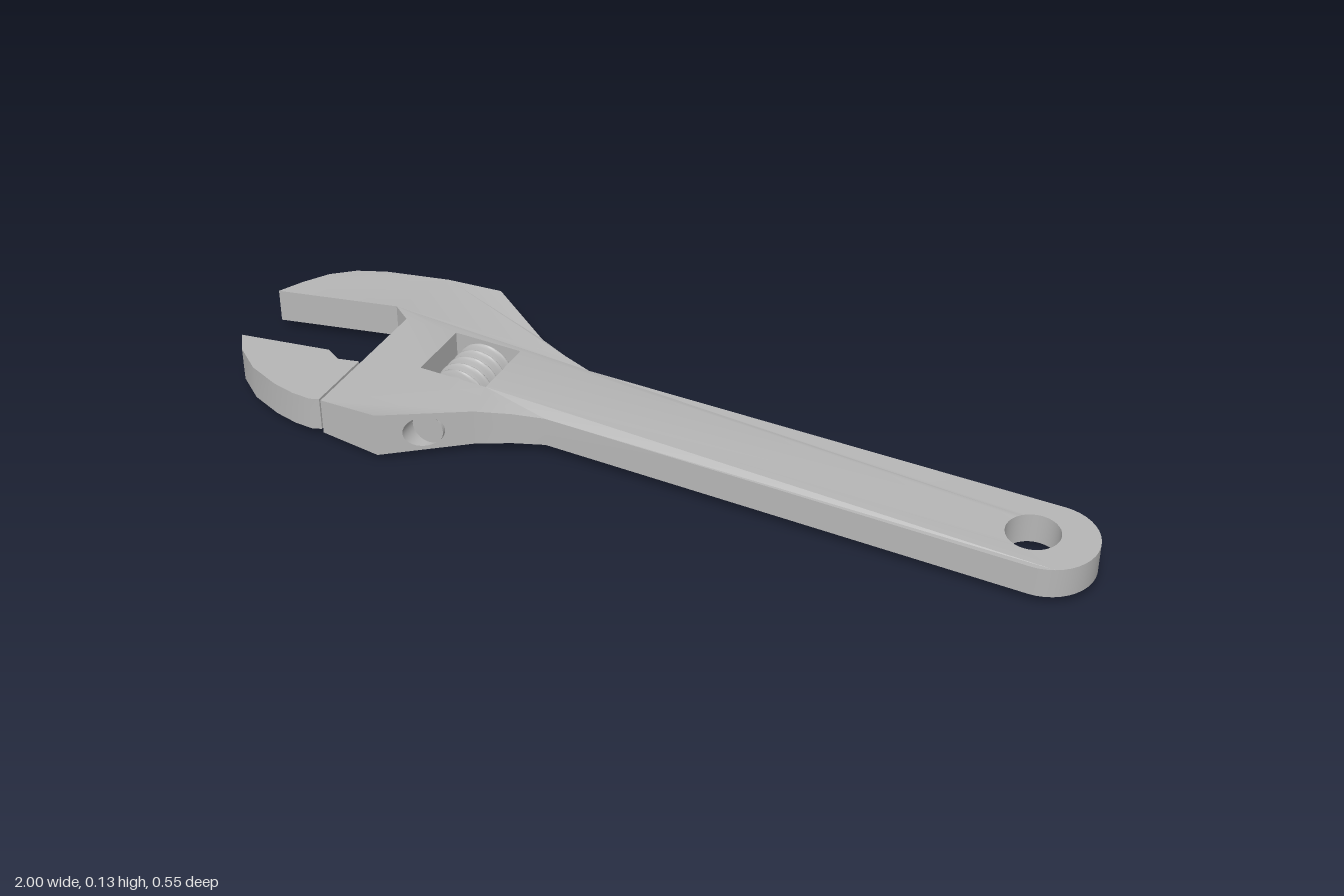
import * as THREE from 'three';
import { toCreasedNormals } from 'three/addons/utils/BufferGeometryUtils.js';

const MID = 0.0665; // height of the flat centre plane
const steel = new THREE.MeshStandardMaterial({ color: 0xb6b6b6, side: THREE.DoubleSide });
steel.name = 'steel';

// Flanks of the head that carry the pin bores, as [x, z]
const SLOPE_A = [-0.53, 0.275], SLOPE_B = [-0.355, 0.155];
const slopeZ = (x) => SLOPE_A[1] + (x - SLOPE_A[0]) * (SLOPE_B[1] - SLOPE_A[1]) / (SLOPE_B[0] - SLOPE_A[0]);

// Half thickness: thin jaws, thick head, thin handle
function halfThickness(x, z) {
  if (Math.abs(z) < 0.09 && x > -0.6 && x < -0.3) return 0.0525;
  if (x < -0.53) return THREE.MathUtils.mapLinear(Math.max(x, -0.72), -0.72, -0.53, 0.04, 0.0525);
  return THREE.MathUtils.mapLinear(Math.min(x, -0.21), -0.53, -0.21, 0.0525, 0.035);
}

function arc(cx, cz, r, from, to, n) {
  return Array.from({ length: n + 1 }, (_, i) => {
    const a = from + (to - from) * i / n;
    return [cx + r * Math.cos(a), cz + r * Math.sin(a)];
  });
}

// Closed plate from an [x, z] outline whose thickness varies; skip() leaves wall segments open
function plate(outline, holes, half, skip = () => false) {
  const ring = (pts, clockwise) => {
    const v = pts.map(([x, z]) => new THREE.Vector2(x, -z));
    return THREE.ShapeUtils.isClockWise(v) === clockwise ? v : v.reverse();
  };
  const contour = ring(outline, false);
  const inner = holes.map((h) => ring(h, true));
  const faces = THREE.ShapeUtils.triangulateShape(contour, inner);
  const all = [contour, ...inner].flat();
  const pos = [];
  const put = (p, s) => pos.push(p.x, MID + s * half(p.x, -p.y), -p.y);
  for (const [a, b, c] of faces) {
    [a, b, c].forEach((i) => put(all[i], 1));
    [c, b, a].forEach((i) => put(all[i], -1));
  }
  for (const loop of [contour, ...inner]) {
    loop.forEach((a, i) => {
      const b = loop[(i + 1) % loop.length];
      if (skip(a, b)) return;
      put(a, -1); put(b, -1); put(b, 1);
      put(a, -1); put(b, 1); put(a, 1);
    });
  }
  const g = new THREE.BufferGeometry();
  g.setAttribute('position', new THREE.Float32BufferAttribute(pos, 3));
  return toCreasedNormals(g, 0.5);
}

function moveVertices(g, rule) {
  const p = g.attributes.position, v = new THREE.Vector3();
  for (let i = 0; i < p.count; i++) {
    rule(v.fromBufferAttribute(p, i));
    p.setXYZ(i, v.x, v.y, v.z);
  }
  g.computeVertexNormals();
  return g;
}

export function createModel() {
  const model = new THREE.Group();
  model.name = 'adjustableWrench';
  const add = (name, geometry, parent = model) => {
    const m = new THREE.Mesh(geometry, steel);
    m.name = name;
    parent.add(m);
    return m;
  };

  // Head, fixed jaw and handle in one piece, with worm window and hanging hole
  const outline = [
    [-1, -0.062], [-0.972, -0.118], [-0.935, -0.175], [-0.885, -0.217], [-0.82, -0.245],
    [-0.67, -0.275], [-0.53, -0.275], [-0.355, -0.155], [-0.28, -0.125], [-0.21, -0.103],
    ...arc(0.893, 0, 0.107, -Math.PI / 2, Math.PI / 2, 20),
    [-0.21, 0.1], [-0.28, 0.122], [-0.355, 0.155], [-0.53, 0.275], [-0.672, 0.268],
    [-0.672, -0.09], [-0.722, -0.128],
  ];
  const windowHole = [[-0.535, -0.08], [-0.37, -0.08], [-0.37, 0.075], [-0.535, 0.075]];
  const hangHole = arc(0.861, 0, 0.058, 0, Math.PI * 2, 32).slice(0, 32);
  const isFlank = (a, b) => Math.min(a.x, b.x) === SLOPE_A[0] && Math.max(a.x, b.x) === SLOPE_B[0];
  add('body', plate(outline, [windowHole, hangHole], halfThickness, isFlank));

  // Sliding jaw and the slide that joins it to the head
  const jaw = [
    [-0.973, 0.128], [-0.765, 0.091], [-0.727, 0.112], [-0.68, 0.1], [-0.68, 0.262],
    [-0.7, 0.27], [-0.745, 0.268], [-0.8, 0.256], [-0.877, 0.225], [-0.94, 0.176],
  ];
  add('slidingJaw', plate(jaw, [], () => 0.04));
  const slide = add('jawSlide', new THREE.BoxGeometry(0.06, 0.06, 0.14));
  slide.position.set(-0.68, MID, 0.18);

  // Flank walls with a round bore and the pin end inside it, on both sides
  const PIN_X = -0.445, PIN_R = 0.038, PIN_END = 0.2;
  for (const side of [1, -1]) {
    const bore = new THREE.Group();
    bore.name = side > 0 ? 'frontBore' : 'backBore';
    bore.scale.z = side;
    model.add(bore);
    const hA = halfThickness(...SLOPE_A), hB = halfThickness(...SLOPE_B);
    const wall = new THREE.Shape([
      new THREE.Vector2(SLOPE_A[0], MID - hA), new THREE.Vector2(SLOPE_B[0], MID - hB),
      new THREE.Vector2(SLOPE_B[0], MID + hB), new THREE.Vector2(SLOPE_A[0], MID + hA),
    ]);
    wall.holes.push(new THREE.Path().absarc(PIN_X, MID, PIN_R, 0, Math.PI * 2, true));
    add('flank', moveVertices(new THREE.ShapeGeometry(wall, 16), (v) => { v.z = slopeZ(v.x); }), bore);
    // sleeve runs from the pin face to the sloping wall
    const sleeve = new THREE.CylinderGeometry(PIN_R, PIN_R, 1, 32, 1, true).rotateX(Math.PI / 2);
    sleeve.translate(PIN_X, MID, 0);
    add('sleeve', moveVertices(sleeve, (v) => { v.z = v.z > 0 ? slopeZ(v.x) : PIN_END; }), bore);
    add('pinEnd', new THREE.CircleGeometry(PIN_R, 32).translate(PIN_X, MID, PIN_END), bore);
  }

  // Worm screw: a cylinder whose radius follows a helical thread
  const PITCH = 0.0285, LENGTH = 0.148;
  const thread = new THREE.CylinderGeometry(1, 1, LENGTH, 48, 60);
  moveVertices(thread, (v) => {
    const r = Math.hypot(v.x, v.z);
    if (r < 0.5) return;
    const turn = v.y / PITCH + Math.atan2(v.z, v.x) / (Math.PI * 2);
    const wave = 0.5 + 0.5 * Math.cos(turn * Math.PI * 2);
    const fade = THREE.MathUtils.clamp((LENGTH / 2 - Math.abs(v.y)) / 0.008, 0, 1);
    const radius = 0.042 + 0.0245 * wave * fade;
    v.x *= radius / r;
    v.z *= radius / r;
  });
  const worm = add('wormScrew', thread.rotateX(Math.PI / 2));
  worm.position.set(PIN_X, MID, 0);
  const axle = add('wormAxle', new THREE.CylinderGeometry(0.022, 0.022, 0.2, 24).rotateX(Math.PI / 2));
  axle.position.copy(worm.position);

  return model;
}
